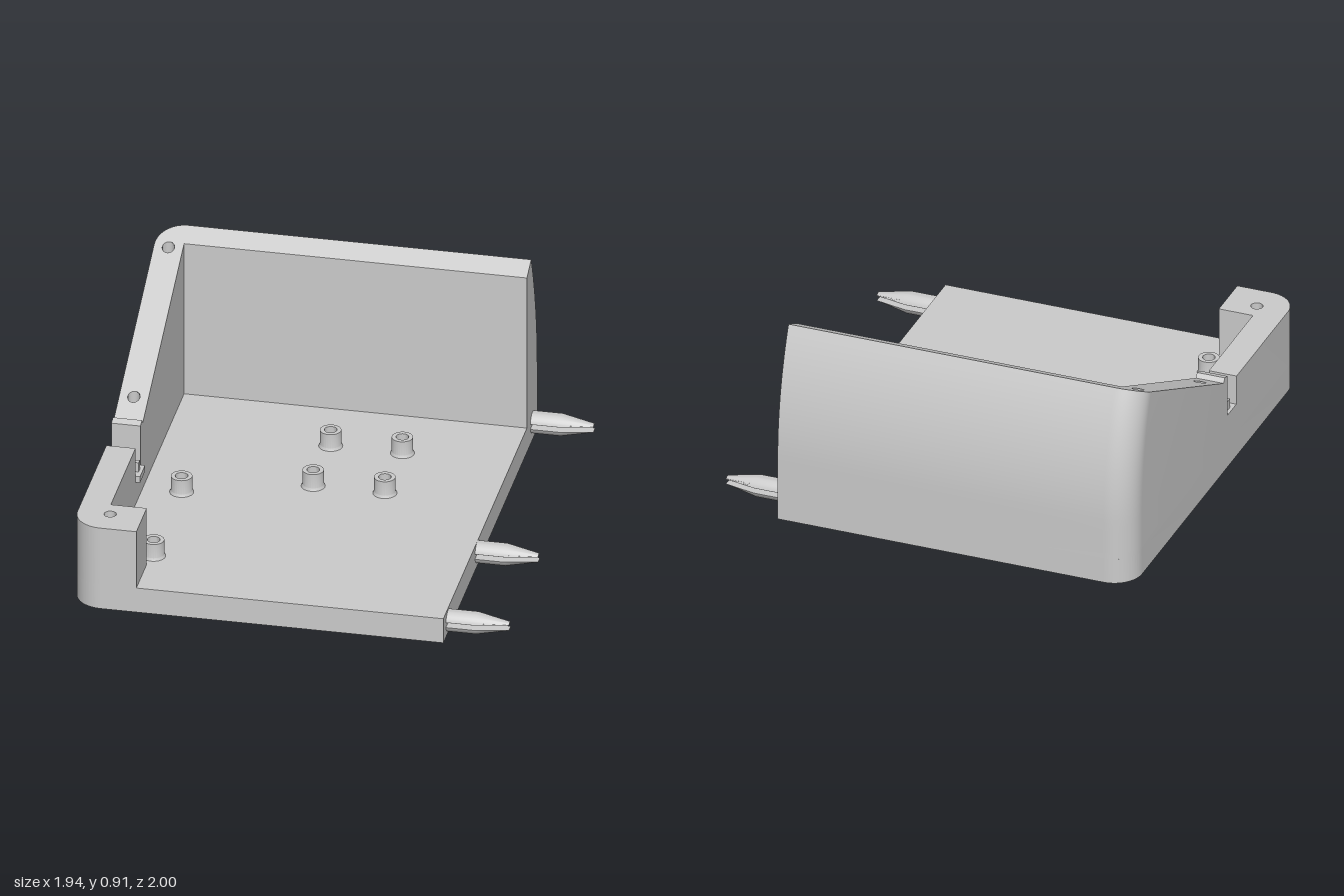
import * as THREE from 'three';
import { toCreasedNormals } from 'three/addons/utils/BufferGeometryUtils.js';

const grey = new THREE.MeshStandardMaterial({ color: 0xcccccc });
const greyDouble = new THREE.MeshStandardMaterial({ color: 0xcccccc, side: THREE.DoubleSide });

const L = -0.97, R = 0.69, INNER_X = -0.84, INNER_Z = -0.78, FLOOR = 0.12, RAD = 0.13, HOLE = 0.027;
const SLOPE_END = 0.1;

// Height of the sloping rim at depth z, and the back face leaning in above y = 0.3
const rimY = z => 0.445 + 0.479 * (SLOPE_END - z);
const backZ = y => (y < 0.3 ? -1 : -1 + 1.5 - Math.sqrt(1.5 * 1.5 - (y - 0.3) ** 2));

function add(group, name, geo, mat = grey) {
  const mesh = new THREE.Mesh(geo, mat);
  mesh.name = name;
  group.add(mesh);
  return mesh;
}

// Plan shape (x, -z) raised from y0 to y1
function slab(shape, y0, y1) {
  const g = new THREE.ExtrudeGeometry(shape, { depth: y1 - y0, bevelEnabled: false, curveSegments: 16 });
  g.rotateX(-Math.PI / 2).translate(0, y0, 0);
  return toCreasedNormals(g, 0.4);
}

function circlePath(x, z, r) {
  return new THREE.Path().absarc(x, -z, r, 0, Math.PI * 2, true);
}

function moveY(geo, rule) {
  const p = geo.attributes.position;
  for (let i = 0; i < p.count; i++) p.setY(i, rule(p.getY(i), p.getZ(i)));
  return geo;
}

// Columns running round the back wall, its rounded corner and the side wall
function wallColumns() {
  const cols = [{ at: y => [R, backZ(y)], inner: [R, INNER_Z] }];
  const n = 14;
  for (let i = 0; i <= n; i++) {
    const a = (i / n) * Math.PI / 2;
    cols.push({
      at: y => [INNER_X - RAD * Math.sin(a), backZ(y) + RAD * (1 - Math.cos(a))],
      inner: [INNER_X, INNER_Z],
    });
  }
  cols.push({ at: () => [L, SLOPE_END], inner: [INNER_X, SLOPE_END] });
  for (const c of cols) {
    c.top = 0.8;
    for (let k = 0; k < 30; k++) c.top = rimY(c.at(c.top)[1]);
  }
  return cols;
}

function wallGeometry(cols) {
  const rows = 24, ring = rows + 3, pos = [], idx = [];
  for (const c of cols) {
    for (let j = 0; j <= rows; j++) {
      const y = FLOOR + (c.top - FLOOR) * j / rows;
      const [x, z] = c.at(y);
      pos.push(x, y, z);
    }
    const [x, z] = c.inner;
    pos.push(x, rimY(z), z, x, FLOOR, z);
  }
  for (let i = 0; i < cols.length - 1; i++) {
    for (let j = 0; j < ring - 1; j++) {
      if (j === rows) continue; // the rim closes the top
      const a = i * ring + j, b = a + ring;
      idx.push(a, b, b + 1, a, b + 1, a + 1);
    }
  }
  for (let k = 1; k < ring - 1; k++) idx.push(0, k, k + 1); // open end of the back wall
  const g = new THREE.BufferGeometry();
  g.setAttribute('position', new THREE.Float32BufferAttribute(pos, 3));
  g.setIndex(idx);
  return toCreasedNormals(g, 0.4);
}

export function createModel() {
  const model = new THREE.Group();
  model.name = 'openEnclosureHalf';

  // Floor with two rounded corners
  const floor = new THREE.Shape();
  floor.moveTo(R, -1);
  floor.lineTo(R, 1);
  floor.lineTo(L + RAD, 1);
  floor.absarc(L + RAD, 1 - RAD, RAD, Math.PI / 2, Math.PI, false);
  floor.lineTo(L, -1 + RAD);
  floor.absarc(L + RAD, -1 + RAD, RAD, Math.PI, Math.PI * 1.5, false);
  add(model, 'floor', slab(floor, 0, FLOOR));

  // Back wall and sloping side wall
  const cols = wallColumns();
  add(model, 'backAndSideWall', wallGeometry(cols));

  // Sloping rim with two screw holes
  const screws = [[-0.905, -0.755], [-0.905, -0.02]];
  const outline = cols.map(c => c.at(c.top));
  outline.push([INNER_X, SLOPE_END], [INNER_X, INNER_Z], [R, INNER_Z]);
  const rim = new THREE.Shape(outline.map(([x, z]) => new THREE.Vector2(x, -z)));
  for (const [x, z] of screws) rim.holes.push(circlePath(x, z, HOLE));
  const rimGeo = moveY(new THREE.ShapeGeometry(rim, 20).rotateX(-Math.PI / 2), (y, z) => rimY(z));
  rimGeo.computeVertexNormals();
  add(model, 'slopingRim', rimGeo);
  for (const [x, z] of screws) {
    const bore = new THREE.LatheGeometry(
      [[0, -0.12], [HOLE, -0.12], [HOLE, 0]].map(p => new THREE.Vector2(...p)), 20);
    bore.translate(x, 0, z);
    add(model, 'screwHole', toCreasedNormals(moveY(bore, (y, zz) => y + rimY(zz)), 0.5), greyDouble);
  }

  // Slot and lip at the low end of the slope, profile in (z, y)
  const lip = new THREE.Shape([
    [0.255, FLOOR], [0.255, 0.23], [0.15, 0.23], [0.15, 0.455], [0.115, 0.465],
    [SLOPE_END, 0.445], [SLOPE_END, FLOOR],
  ].map(p => new THREE.Vector2(...p)));
  const lipGeo = new THREE.ExtrudeGeometry(lip, { depth: INNER_X - L, bevelEnabled: false });
  add(model, 'slotAndLip', lipGeo.rotateY(-Math.PI / 2).translate(INNER_X, 0, 0));

  // Latch seat in the slot
  const latch = new THREE.Group();
  latch.name = 'latchSeat';
  latch.position.set(-0.895, 0, 0.2);
  add(latch, 'seatPlate', new THREE.BoxGeometry(0.15, 0.03, 0.105)).position.y = 0.245;
  add(latch, 'seatBoss', new THREE.CylinderGeometry(0.04, 0.04, 0.05, 24)).position.y = 0.285;
  add(latch, 'seatBar', new THREE.BoxGeometry(0.12, 0.045, 0.025)).position.y = 0.283;
  model.add(latch);

  // Low side wall with the front corner post
  const post = new THREE.Shape();
  post.moveTo(-0.68, -1);
  post.lineTo(-0.68, -0.78);
  post.lineTo(INNER_X, -0.78);
  post.lineTo(INNER_X, -0.255);
  post.lineTo(L, -0.255);
  post.lineTo(L, -1 + RAD);
  post.absarc(L + RAD, -1 + RAD, RAD, Math.PI, Math.PI * 1.5, false);
  post.holes.push(circlePath(-0.825, 0.865, HOLE));
  add(model, 'lowWallAndPost', slab(post, FLOOR, 0.4));

  // Hollow standoffs
  const standoff = toCreasedNormals(new THREE.LatheGeometry(
    [[0.053, 0], [0.047, 0.012], [0.047, 0.08], [0.028, 0.08], [0.028, 0.002], [0, 0.002]]
      .map(p => new THREE.Vector2(...p)), 28), 0.5);
  for (const [x, z] of [[-0.116, -0.447], [0.204, -0.447], [-0.116, -0.074],
    [0.204, -0.074], [-0.667, 0.098], [-0.667, 0.694]]) {
    add(model, 'standoff', standoff).position.set(x, FLOOR, z);
  }

  // Split snap pegs on the open edge, each half cut flat at the slit
  const pegHalf = sign => {
    const g = new THREE.LatheGeometry(
      [[0, -0.01], [0.05, -0.01], [0.05, 0.13], [0.02, 0.275], [0, 0.275]]
        .map(p => new THREE.Vector2(...p)), 32).rotateZ(-Math.PI / 2);
    return toCreasedNormals(moveY(g, y => sign * Math.max(sign * y, 0.012)), 0.5);
  };
  const halves = [pegHalf(1), pegHalf(-1)];
  for (const [y, z] of [[0.06, 0.897], [0.07, 0.278], [0.088, -0.9]]) {
    const peg = new THREE.Group();
    peg.name = 'snapPeg';
    halves.forEach((g, i) => add(peg, i ? 'lowerProng' : 'upperProng', g));
    peg.position.set(R, y, z);
    model.add(peg);
  }
  return model;
}
